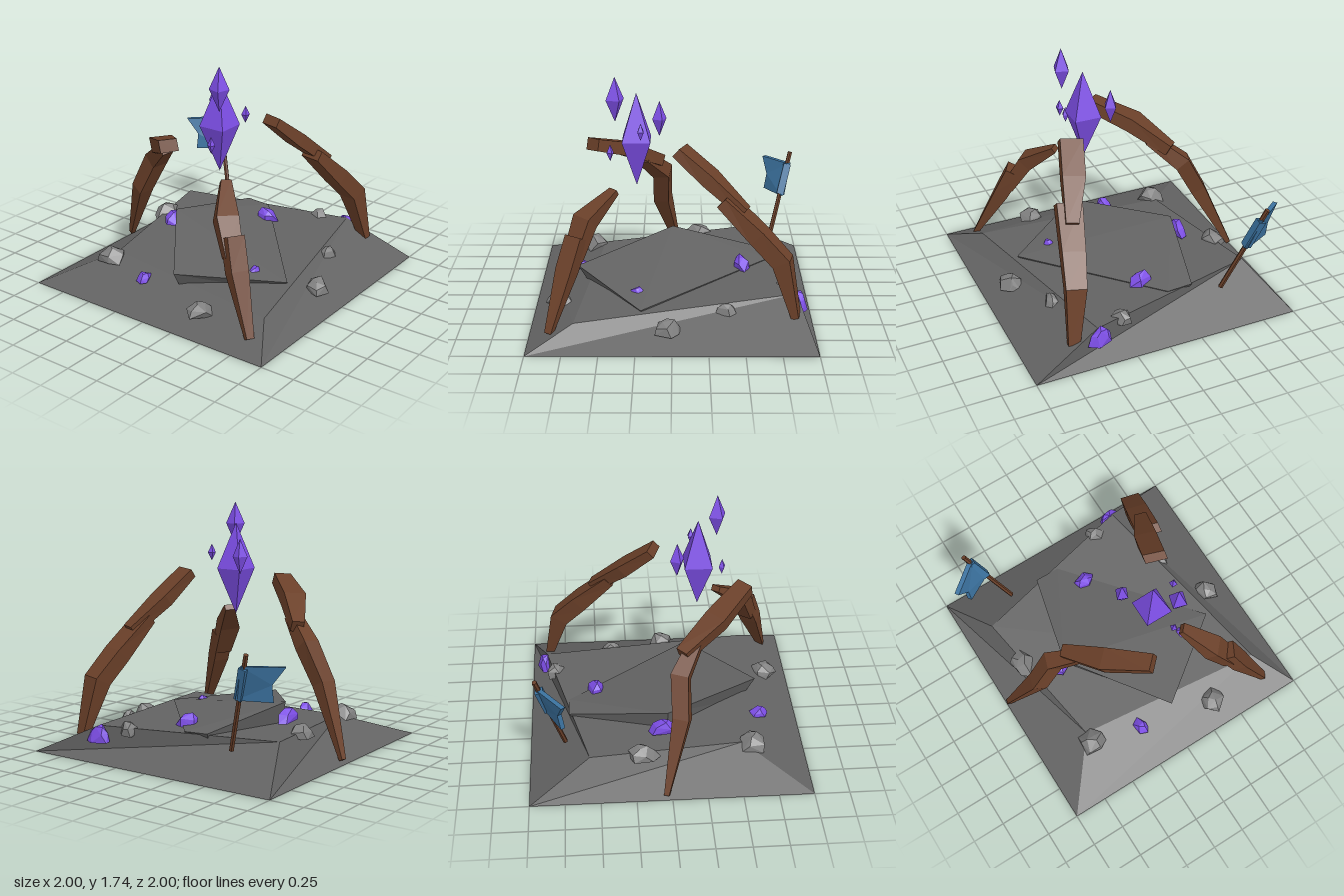
import * as THREE from 'three';
import { ConvexGeometry } from 'three/addons/geometries/ConvexGeometry.js';

const mat = (color) => new THREE.MeshStandardMaterial({ color, flatShading: true });
const V = (p) => new THREE.Vector3(...p);

// Skin a closed solid over matching rings of points, capped at both ends.
function loft(rings) {
  const tris = [], n = rings[0].length, last = rings[rings.length - 1];
  for (let r = 0; r + 1 < rings.length; r++) {
    for (let i = 0; i < n; i++) {
      const j = (i + 1) % n, a = rings[r], b = rings[r + 1];
      tris.push([a[i], a[j], b[j]], [a[i], b[j], b[i]]);
    }
  }
  for (let i = 1; i + 1 < n; i++) {
    tris.push([rings[0][0], rings[0][i + 1], rings[0][i]], [last[0], last[i], last[i + 1]]);
  }
  // turn all faces outward, judged by the signed volume
  const o = rings[0][0];
  let volume = 0;
  for (const [a, b, c] of tris) {
    volume += a.clone().sub(o).dot(b.clone().sub(o).cross(c.clone().sub(o)));
  }
  if (volume < 0) tris.forEach((t) => t.reverse());
  const g = new THREE.BufferGeometry().setFromPoints(tris.flat());
  g.computeVertexNormals();
  return g;
}

// Four-sided bone along stations [x, y, z, halfWidth, halfThickness].
function bone(stations) {
  const pts = stations.map(V3);
  const run = pts[pts.length - 1].clone().sub(pts[0]);
  const side = new THREE.Vector3(-run.z, 0, run.x).normalize();
  return loft(stations.map(([, , , w, t], i) => {
    const dir = pts[Math.min(i + 1, pts.length - 1)].clone().sub(pts[Math.max(i - 1, 0)]).normalize();
    const out = new THREE.Vector3().crossVectors(dir, side).normalize();
    return [[1, 0.7], [-0.8, 1], [-1, -0.8], [0.8, -1]].map(([a, b]) =>
      pts[i].clone().addScaledVector(side, a * w).addScaledVector(out, b * t));
  }));
}
function V3(s) { return new THREE.Vector3(s[0], s[1], s[2]); }

// Irregular stone: a jittered, tapering convex lump.
function lump(seed, sx, sy, sz) {
  let s = seed * 7919 + 17;
  const rnd = () => (s = (s * 16807) % 2147483647) / 2147483647;
  const pts = [];
  for (const [y, r, n] of [[-0.5, 1, 5], [0.35, 0.85, 5], [1, 0.4, 3]]) {
    for (let i = 0; i < n; i++) {
      const a = (i + rnd() * 0.6) / n * Math.PI * 2, q = r * (0.75 + rnd() * 0.35);
      pts.push(new THREE.Vector3(Math.cos(a) * q * sx, (y + (rnd() - 0.5) * 0.3) * sy, Math.sin(a) * q * sz));
    }
  }
  return new ConvexGeometry(pts);
}

export function createModel() {
  const root = new THREE.Group();
  const ground = mat(0x636363), stone = mat(0x808080), wood = mat(0x6b4029);
  const crystal = mat(0x7d4ee6), cloth = mat(0x3b729f);
  const add = (name, geometry, material, parent = root) => {
    const m = new THREE.Mesh(geometry, material);
    m.name = name;
    parent.add(m);
    return m;
  };
  const group = (name) => {
    const g = new THREE.Group();
    g.name = name;
    root.add(g);
    return g;
  };

  // Sloped ground block
  add('ground', loft([
    [[1, 0, -1], [-1, 0, -1], [-1, 0, 1], [1, 0, 1]].map(V),
    [[0.57, 0.25, -0.8], [-0.53, 0.185, -0.62], [-0.68, 0.15, 0.8], [0.88, 0.24, 0.5]].map(V),
  ]), ground);

  // Tilted slab breaking out of the ground
  const slabTop = [[0, 0.37, -0.49], [0.71, 0.26, -0.31], [0.71, 0.25, -0.12], [-0.22, 0.19, 0.68], [-0.7, 0.26, 0.04]];
  add('slab', loft([
    slabTop.map(([x, , z]) => V([x * 0.85, 0.08, z * 0.85])),
    slabTop.map(V),
  ]), ground);

  // Three arched ribs, each of an upper and a lower overlapping bone
  const ribs = {
    frontLeftRib: [
      [[0.05, 1.25, 0.34, 0.09, 0.04], [0.26, 1.07, 0.41, 0.09, 0.055], [0.5, 0.86, 0.52, 0.05, 0.045]],
      [[0.36, 0.94, 0.49, 0.1, 0.045], [0.6, 0.7, 0.56, 0.09, 0.07], [0.76, 0.53, 0.61, 0.08, 0.075], [0.86, 0.14, 0.67, 0.045, 0.03]],
    ],
    frontRightRib: [
      [[-0.41, 0.93, 0.28, 0.04, 0.025], [-0.61, 0.76, 0.43, 0.085, 0.065], [-0.69, 0.53, 0.55, 0.07, 0.05]],
      [[-0.66, 0.67, 0.52, 0.07, 0.07], [-0.73, 0.46, 0.61, 0.07, 0.06], [-0.85, 0.07, 0.8, 0.03, 0.02]],
    ],
    backRib: [
      [[-0.58, 1.16, -0.08, 0.07, 0.05], [-0.35, 1.05, -0.33, 0.09, 0.06], [-0.1, 0.9, -0.52, 0.05, 0.05]],
      [[-0.22, 0.96, -0.4, 0.05, 0.05], [-0.08, 0.78, -0.61, 0.07, 0.07], [-0.08, 0.52, -0.75, 0.065, 0.065], [0.04, 0.03, -0.98, 0.02, 0.02]],
    ],
  };
  for (const [name, [upper, lower]] of Object.entries(ribs)) {
    const g = group(name);
    add('upperBone', bone(upper), wood, g);
    add('lowerBone', bone(lower), wood, g);
  }

  // Floating double-pointed crystals: x, y, z, radius, half height, turn
  const floating = group('floatingCrystals');
  [
    [-0.255, 1.26, 0.115, 0.142, 0.34, 0.78],
    [-0.4, 1.58, 0.22, 0.07, 0.16, 0.5],
    [-0.095, 1.37, -0.03, 0.055, 0.13, 0.4],
    [-0.22, 1.37, 0.31, 0.03, 0.062, 0.78],
    [-0.44, 1.18, 0.18, 0.028, 0.062, 0.5],
  ].forEach(([x, y, z, r, h, turn], i) => {
    const m = add(i ? 'smallCrystal' : 'mainCrystal', new THREE.OctahedronGeometry(1), crystal, floating);
    m.position.set(x, y, z);
    m.scale.set(r, h, r);
    m.rotation.y = turn;
  });

  // Crystal shards and rocks on the ground: x, y, z, size in x, y, z
  const scatter = (name, material, list, seed) => {
    const g = group(name + 's');
    list.forEach(([x, y, z, ...size], i) =>
      add(name, lump(seed + i, ...size), material, g).position.set(x, y, z));
  };
  scatter('crystalShard', crystal, [
    [-0.7, 0.15, -0.23, 0.08, 0.04, 0.06],
    [0.03, 0.27, -0.53, 0.11, 0.06, 0.065],
    [0.51, 0.26, 0, 0.07, 0.06, 0.09],
    [-0.25, 0.22, 0.42, 0.055, 0.03, 0.045],
    [0.9, 0.17, 0.48, 0.06, 0.08, 0.1],
  ], 3);
  scatter('rock', stone, [
    [-0.61, 0.18, -0.62, 0.11, 0.07, 0.11],
    [0.2, 0.22, -0.74, 0.12, 0.06, 0.1],
    [0.81, 0.22, 0.29, 0.08, 0.06, 0.09],
    [-0.8, 0.12, 0.35, 0.11, 0.06, 0.1],
    [0.38, 0.18, 0.64, 0.08, 0.045, 0.06],
    [-0.03, 0.12, 0.81, 0.11, 0.06, 0.09],
  ], 21);

  // Leaning flag with a notched banner
  const flag = group('flag');
  const foot = V([0.74, 0.19, -0.53]), tip = V([0.92, 0.89, -0.765]);
  const axis = tip.clone().sub(foot);
  const pole = add('pole', new THREE.CylinderGeometry(0.018, 0.018, axis.length(), 6), wood, flag);
  pole.position.copy(foot).lerp(tip, 0.5);
  pole.quaternion.setFromUnitVectors(new THREE.Vector3(0, 1, 0), axis.normalize());
  const banner = [[0.76, 0.68, -0.86], [0.73, 0.8, -0.945], [0.91, 0.81, -0.72], [0.86, 0.57, -0.64], [0.74, 0.56, -0.86]];
  add('banner', loft([-1, 1].map((s) =>
    banner.map(([x, y, z]) => V([x + s * 0.014, y, z - s * 0.01])))), cloth, flag);
  const sleeve = add('bannerSleeve', new THREE.BoxGeometry(0.055, 0.24, 0.055), cloth, flag);
  sleeve.position.copy(foot).lerp(tip, 0.71);
  sleeve.quaternion.copy(pole.quaternion);

  return root;
}
